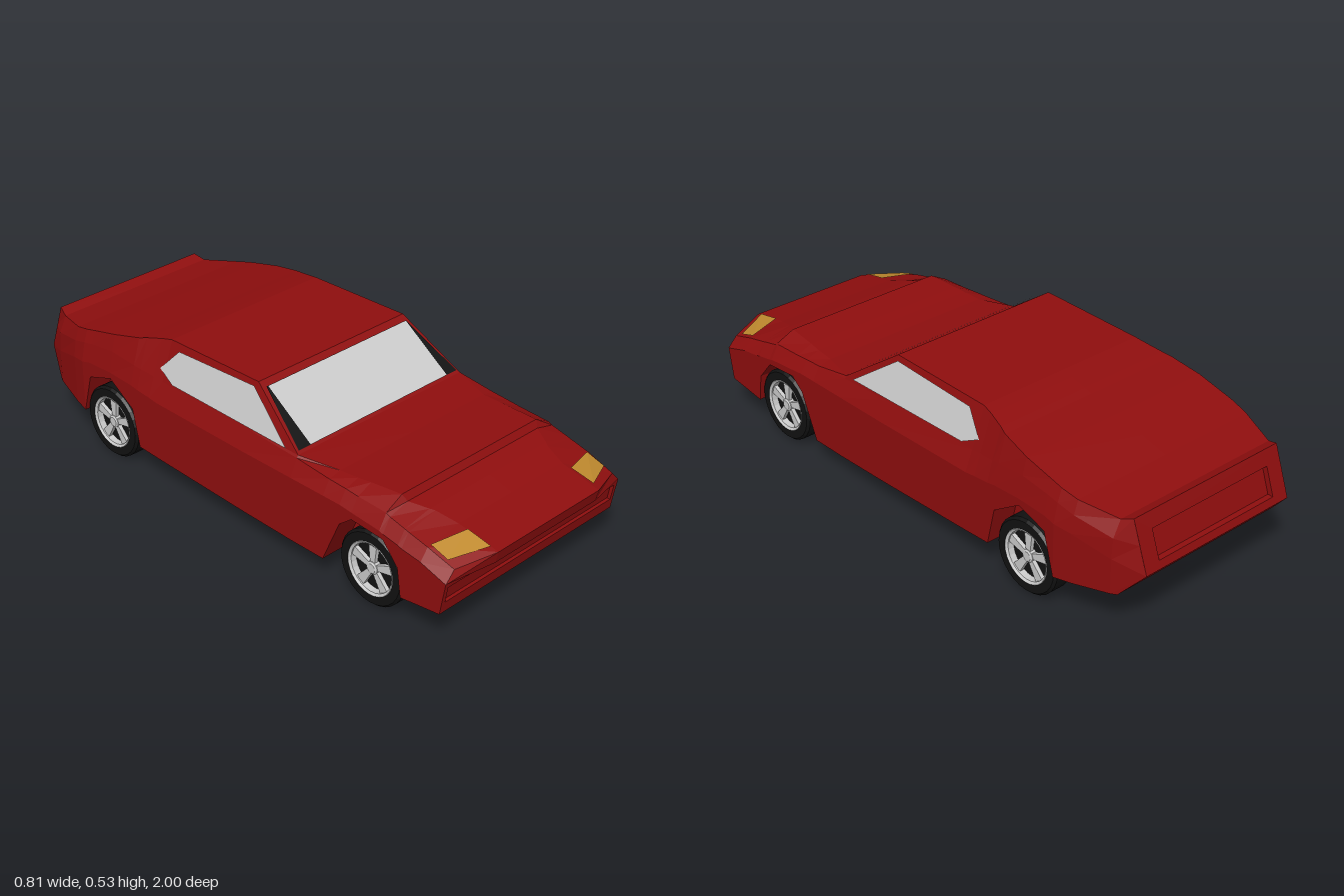
import * as THREE from 'three';

const mat = (color) => new THREE.MeshStandardMaterial({ color, flatShading: true, side: THREE.DoubleSide });
const red = mat(0x8f0e0e), black = mat(0x111111), grey = mat(0xcccccc), amber = mat(0xc08a2e);

const flip = ([x, y, z]) => [-x, y, z];
const add = (a, b) => a.map((v, i) => v + b[i]);

// Flat-shaded mesh from quads, corners counter-clockwise seen from outside
function quadMesh(name, quads, material) {
  const pos = [];
  for (const [a, b, c, d] of quads) pos.push(...a, ...b, ...c, ...a, ...c, ...d);
  const geo = new THREE.BufferGeometry();
  geo.setAttribute('position', new THREE.Float32BufferAttribute(pos, 3));
  geo.computeVertexNormals();
  const mesh = new THREE.Mesh(geo, material);
  mesh.name = name;
  return mesh;
}

// Face with a sunken panel: frame, walls and panel floor
function recess(outer, inner, push) {
  const deep = inner.map((p) => add(p, push));
  const quads = [deep];
  for (let i = 0; i < 4; i++) {
    const j = (i + 1) % 4;
    quads.push([outer[i], outer[j], inner[j], inner[i]], [inner[i], inner[j], deep[j], deep[i]]);
  }
  return quads;
}

// Half cross-section from floor centre, round the wheel arch, up to roof centre
const section = ([z, floor, arch, waist, xs, ys, xr, yr, xo = 0.405]) => [
  [0, floor, z], [0.31, floor, z], [0.31, arch, z], [xo, arch, z],
  [xo, waist, z], [xs, ys, z], [xr, yr, z], [0, yr, z],
];

function body() {
  const nose = [[0, 0.12, 0.93], [0.31, 0.12, 0.93], [0.31, 0.12, 0.93], [0.405, 0.12, 0.93],
    [0.405, 0.235, 0.95], [0.37, 0.272, 0.95], [0.235, 0.292, 1], [0, 0.292, 1]];
  const tail = [[0, 0.15, -0.92], [0.31, 0.15, -0.92], [0.31, 0.15, -0.92], [0.345, 0.15, -0.92],
    [0.31, 0.24, -1], [0.31, 0.33, -0.968], [0.31, 0.41, -0.94], [0, 0.41, -0.94]];
  // z, floor, arch, waist, shoulder x y, top edge x y, outer x
  const front = [
    [0.85, 0.11, 0.11, 0.265, 0.375, 0.303, 0.24, 0.322],
    [0.775, 0.10, 0.10, 0.275, 0.376, 0.32, 0.26, 0.342],
    [0.76, 0.10, 0.20, 0.28, 0.376, 0.324, 0.27, 0.346],
    [0.70, 0.095, 0.27, 0.29, 0.376, 0.338, 0.30, 0.358],
    [0.685, 0.095, 0.272, 0.295, 0.376, 0.345, 0.31, 0.38],
    [0.57, 0.087, 0.28, 0.305, 0.377, 0.35, 0.32, 0.374],
    [0.52, 0.084, 0.24, 0.31, 0.377, 0.354, 0.325, 0.37],
    [0.45, 0.08, 0.08, 0.31, 0.378, 0.358, 0.33, 0.367],
    [0.31, 0.08, 0.08, 0.31, 0.378, 0.37, 0.372, 0.378],
  ];
  const rear = [
    [0.09, 0.085, 0.085, 0.31, 0.377, 0.38, 0.328, 0.53],
    [-0.32, 0.10, 0.10, 0.315, 0.377, 0.385, 0.328, 0.522],
    [-0.36, 0.102, 0.102, 0.32, 0.38, 0.39, 0.335, 0.514],
    [-0.42, 0.105, 0.105, 0.325, 0.385, 0.396, 0.35, 0.50],
    [-0.45, 0.108, 0.24, 0.33, 0.388, 0.40, 0.36, 0.492],
    [-0.56, 0.115, 0.312, 0.335, 0.39, 0.41, 0.374, 0.468],
    [-0.67, 0.125, 0.275, 0.33, 0.39, 0.396, 0.374, 0.442],
    [-0.71, 0.13, 0.13, 0.32, 0.39, 0.388, 0.374, 0.432],
    [-0.77, 0.135, 0.135, 0.31, 0.382, 0.37, 0.366, 0.417, 0.392],
    [-0.90, 0.148, 0.148, 0.27, 0.35, 0.34, 0.322, 0.395, 0.355],
  ];
  const rings = [nose, ...[...front, ...rear].map(section), tail]
    .map((h) => [...h, ...h.slice(1, -1).reverse().map(flip)]);
  const quads = [];
  for (let i = 0; i + 1 < rings.length; i++) {
    const p = rings[i], q = rings[i + 1];
    for (let k = 0; k < p.length; k++) {
      const n = (k + 1) % p.length;
      quads.push([p[k], q[k], q[n], p[n]]);
    }
  }
  // Nose: lip, slanted corners and sunken bumper panel
  const [, , , E, C, D, A] = nose, B = [0.235, 0.25, 0.99];
  const corner = [B, C, D, A];
  quads.push([flip(A), flip(B), B, A], corner, corner.map(flip).reverse(), [flip(C), C, B, flip(B)]);
  quads.push(...recess([flip(E), E, C, flip(C)],
    [[-0.39, 0.16, 0.937], [0.39, 0.16, 0.937], [0.39, 0.217, 0.947], [-0.39, 0.217, 0.947]], [0, 0, -0.012]));
  // Tail: lower bumper and sunken lamp panel
  const [, , , F, W, , T] = tail;
  quads.push([F, flip(F), flip(W), W]);
  quads.push(...recess([W, flip(W), flip(T), T],
    [[0.25, 0.265, -0.991], [-0.25, 0.265, -0.991], [-0.25, 0.36, -0.958], [0.25, 0.36, -0.958]], [0, 0, 0.02]));
  return quadMesh('body', quads, red);
}

// Pane across the car from the cowl to the roof, lifted off the body
function windscreen(name, xLow, xHigh, yLow, yHigh, lift, material) {
  const at = (x, y) => [x, y + lift * 0.826, 0.307 - (y - 0.38) * 1.43 + lift * 0.563];
  return quadMesh(name, [[at(-xLow, yLow), at(xLow, yLow), at(xHigh, yHigh), at(-xHigh, yHigh)]], material);
}

function sideWindow(side) {
  const outline = [[0.265, 0.385], [0.08, 0.515], [-0.27, 0.502], [-0.34, 0.425], [-0.27, 0.392]];
  const [a, b, c, d, e] = outline.map(([z, y]) => [side * (0.382 - (y - 0.38) * 0.327), y, z]);
  const quads = [[a, e, c, b], [e, d, c, c]];
  return quadMesh('sideWindow', side > 0 ? quads : quads.map((q) => [...q].reverse()), grey);
}

function headlight(side) {
  const q = [[0.365, 0.309, 0.852], [0.24, 0.32, 0.885], [0.24, 0.303, 0.975], [0.365, 0.288, 0.92]];
  return quadMesh('headlight', [side > 0 ? q : q.map(flip).reverse()], amber);
}

// Wheel with its outer face towards +x
function wheel() {
  const g = new THREE.Group();
  g.name = 'wheel';
  const lathe = (name, pts, material) => {
    const geo = new THREE.LatheGeometry(pts.map(([r, y]) => new THREE.Vector2(r, y)), 28);
    const m = new THREE.Mesh(geo.rotateZ(-Math.PI / 2), material);
    m.name = name;
    g.add(m);
  };
  lathe('tyre', [[0, -0.02], [0.085, -0.02], [0.09, -0.037], [0.122, -0.037], [0.13, -0.028], [0.13, 0.028],
    [0.122, 0.037], [0.092, 0.037], [0.088, 0.01], [0, 0.01]], black);
  lathe('rimRing', [[0.084, 0.01], [0.084, 0.033], [0.092, 0.039], [0.094, 0.036]], grey);
  lathe('hub', [[0.022, 0.01], [0.022, 0.03], [0.016, 0.034], [0, 0.034]], grey);
  const shape = new THREE.Shape([[-0.009, 0.015], [0.009, 0.015], [0.017, 0.086], [-0.017, 0.086]]
    .map(([x, y]) => new THREE.Vector2(x, y)));
  for (let i = 0; i < 5; i++) {
    const geo = new THREE.ExtrudeGeometry(shape, { depth: 0.014, bevelEnabled: false });
    geo.rotateY(Math.PI / 2).translate(0.014, 0, 0).rotateX((i / 5) * Math.PI * 2);
    const spoke = new THREE.Mesh(geo, grey);
    spoke.name = 'spoke';
    g.add(spoke);
  }
  return g;
}

export function createModel() {
  const car = new THREE.Group();
  car.name = 'car';
  car.add(body());
  car.add(windscreen('windscreenSurround', 0.362, 0.318, 0.384, 0.516, 0.003, black));
  car.add(windscreen('windscreen', 0.313, 0.313, 0.384, 0.515, 0.006, grey));
  for (const side of [1, -1]) {
    car.add(sideWindow(side), headlight(side));
    for (const z of [0.64, -0.58]) {
      const w = wheel();
      w.position.set(side * 0.356, 0.13, z);
      if (side < 0) w.rotation.y = Math.PI;
      car.add(w);
    }
  }
  return car;
}
